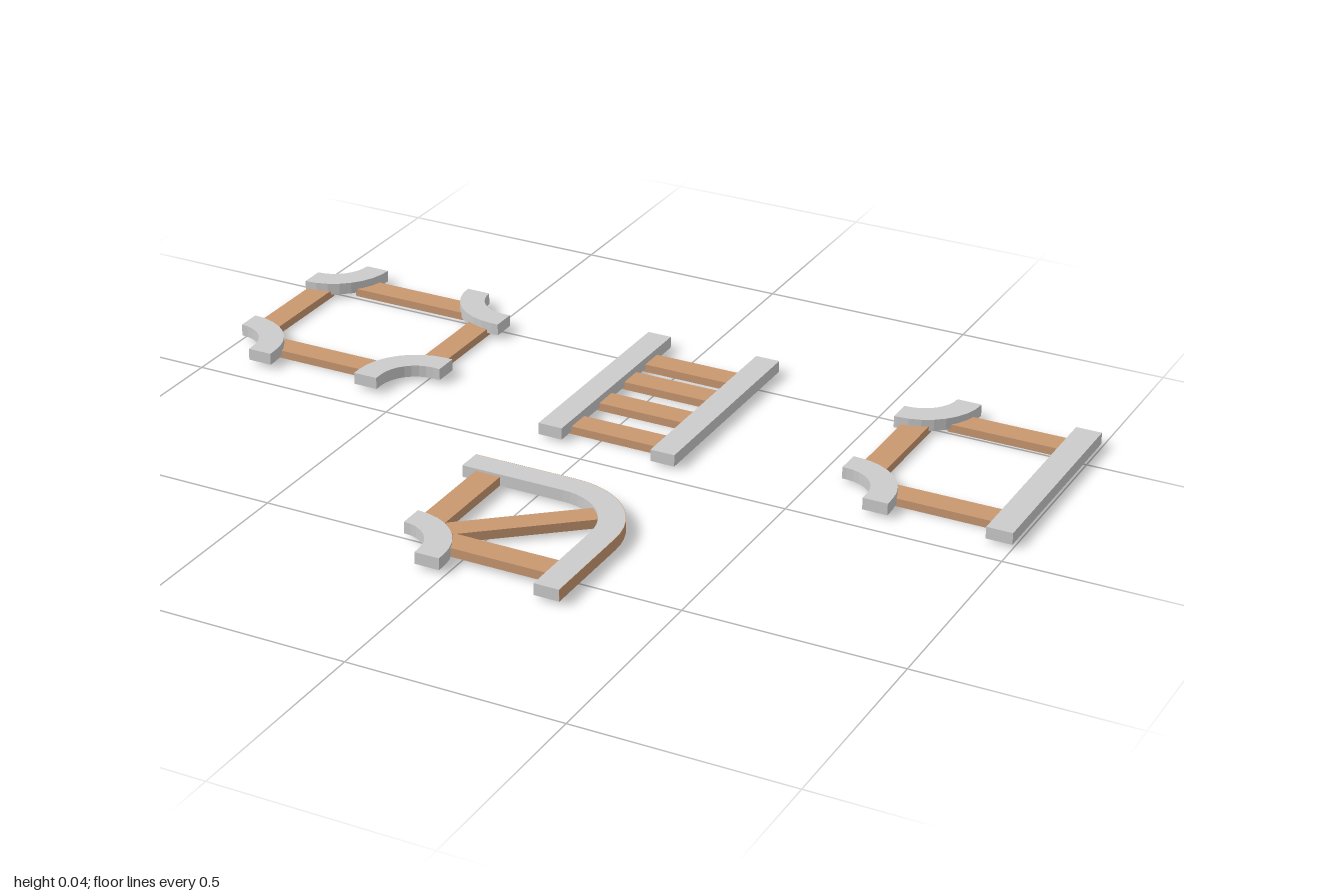
import * as THREE from 'three';

const grey = new THREE.MeshStandardMaterial({ color: 0xcccccc, flatShading: true });
const wood = new THREE.MeshStandardMaterial({ color: 0xc89870, flatShading: true });

// Box given by its extents in x, y and z
function bar(group, name, material, [x0, x1], [y0, y1], [z0, z1]) {
  const mesh = new THREE.Mesh(new THREE.BoxGeometry(x1 - x0, y1 - y0, z1 - z0), material);
  mesh.position.set((x0 + x1) / 2, (y0 + y1) / 2, (z0 + z1) / 2);
  mesh.name = name;
  group.add(mesh);
  return mesh;
}

// Quarter-turn rail around a corner, with straight lead-ins along x and z
function bentRail(group, name, material, [cx, cz], [sx, sz], [leadX, leadZ], [r0, r1], [y0, y1], steps = 8) {
  const side = (r) => {
    const pts = [[0, leadZ + r]];
    for (let i = 0; i <= steps; i++) {
      const a = (i / steps) * Math.PI / 2;
      pts.push([leadX + r * Math.sin(a), leadZ + r * Math.cos(a)]);
    }
    pts.push([leadX + r, 0]);
    return pts.filter((p, i) => i === 0 || Math.hypot(p[0] - pts[i - 1][0], p[1] - pts[i - 1][1]) > 1e-6);
  };
  const outline = [...side(r1), ...side(r0).reverse()]
    .map(([u, v]) => new THREE.Vector2(cx + sx * u, cz + sz * v));
  const geo = new THREE.ExtrudeGeometry(new THREE.Shape(outline), { depth: y1 - y0, bevelEnabled: false });
  geo.rotateX(Math.PI / 2).translate(0, y1, 0);
  const mesh = new THREE.Mesh(geo, material);
  mesh.name = name;
  group.add(mesh);
}

function piece(root, name) {
  const g = new THREE.Group();
  g.name = name;
  root.add(g);
  return g;
}

const R = [0.087, 0.146];
const TIE = [0.002, 0.021];

export function createModel() {
  const root = new THREE.Group();
  root.name = 'trackSet';

  // Crossing: four corner rails joined by four ties
  const cross = piece(root, 'crossing');
  const crossY = [0.012, 0.04];
  bentRail(cross, 'cornerRail', grey, [-1, -0.605], [1, 1], [0, 0], R, crossY);
  bentRail(cross, 'cornerRail', grey, [-0.465, -0.605], [-1, 1], [0.018, 0], R, crossY);
  bentRail(cross, 'cornerRail', grey, [-1, -0.07], [1, -1], [0, 0.018], R, crossY);
  bentRail(cross, 'cornerRail', grey, [-0.465, -0.075], [-1, -1], [0.018, 0.022], R, crossY);
  bar(cross, 'backTie', wood, [-0.89, -0.59], TIE, [-0.572, -0.513]);
  bar(cross, 'frontTie', wood, [-0.89, -0.59], TIE, [-0.19, -0.131]);
  bar(cross, 'rightTie', wood, [-0.996, -0.938], TIE, [-0.49, -0.21]);
  bar(cross, 'leftTie', wood, [-0.553, -0.495], TIE, [-0.49, -0.21]);

  // Straight: two rails on four ties
  const straight = piece(root, 'straight');
  for (const x of [-0.134, 0.147]) bar(straight, 'rail', grey, [x, x + 0.059], [0.009, 0.037], [-0.596, -0.053]);
  for (const z of [-0.494, -0.388, -0.264, -0.13])
    bar(straight, 'tie', wood, [-0.09, 0.168], TIE, [z - 0.03, z + 0.03]);

  // Junction: one straight rail and two corner rails
  const junction = piece(root, 'junction');
  const junctionY = [0.01, 0.038];
  bar(junction, 'straightRail', grey, [0.937, 0.998], junctionY, [-0.596, -0.064]);
  bentRail(junction, 'cornerRail', grey, [0.556, -0.602], [1, 1], [0.006, 0], R, junctionY);
  bentRail(junction, 'cornerRail', grey, [0.556, -0.062], [1, -1], [0.01, 0.024], R, junctionY);
  bar(junction, 'backTie', wood, [0.665, 0.945], TIE, [-0.567, -0.508]);
  bar(junction, 'frontTie', wood, [0.665, 0.945], TIE, [-0.184, -0.123]);
  bar(junction, 'sideTie', wood, [0.573, 0.633], TIE, [-0.49, -0.2]);

  // Curve: long outer rail with a wooden outer face, short inner rail, three ties
  const curve = piece(root, 'curve');
  const curveY = [0.011, 0.039];
  const curveTie = [0.012, 0.033];
  bentRail(curve, 'outerRail', grey, [-0.18, 0.6], [1, -1], [0.25, 0.25], [0.14, 0.199], curveY, 12);
  bentRail(curve, 'outerFace', wood, [-0.18, 0.6], [1, -1], [0.25, 0.25], [0.199, 0.2], curveY, 12);
  bentRail(curve, 'innerRail', grey, [-0.16, 0.6], [1, -1], [0, 0.018], R, curveY);
  bar(curve, 'sideTie', wood, [-0.147, -0.086], curveTie, [0.19, 0.45]);
  bar(curve, 'frontTie', wood, [-0.045, 0.22], curveTie, [0.48, 0.54]);
  const diagonal = bar(curve, 'diagonalTie', wood, [-0.1, 0.228], curveTie, [0.332, 0.386]);
  diagonal.position.set(0.058, 0.0225, 0.362);
  diagonal.rotation.y = 0.7;

  return root;
}
